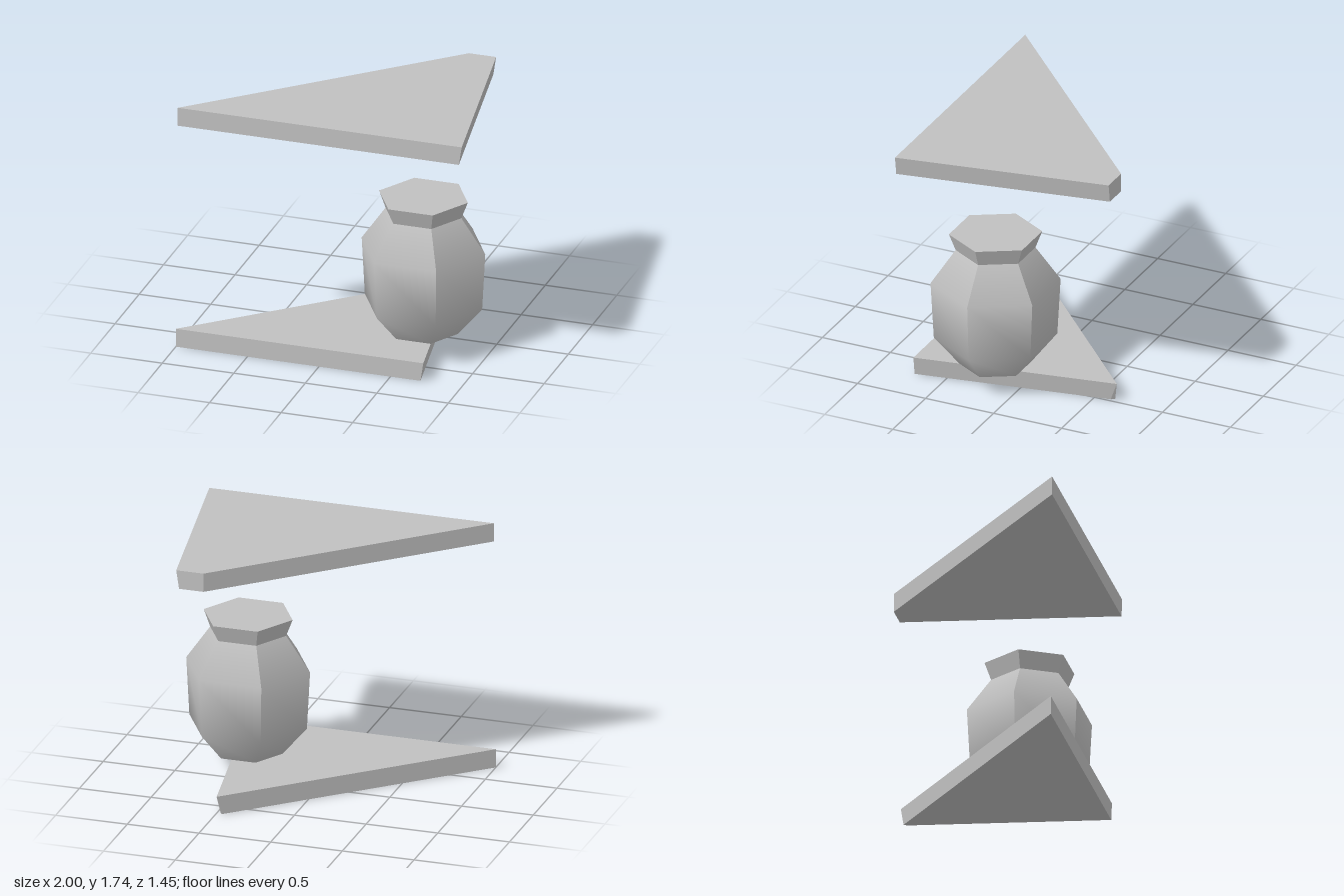
import * as THREE from 'three';
import { ConvexGeometry } from 'three/addons/geometries/ConvexGeometry.js';

const SIDES = 6;
const STEP = (Math.PI * 2) / SIDES;

// Slab between a lower and an upper outline, both given as [x, z] corners
function slab(y0, bottom, y1, top) {
  return new ConvexGeometry([
    ...bottom.map(([x, z]) => new THREE.Vector3(x, y0, z)),
    ...top.map(([x, z]) => new THREE.Vector3(x, y1, z)),
  ]);
}

// Six-sided body: sharp side edges at the shoulder that melt into a round belly
function jarBody(rings) {
  const positions = [], normals = [];
  const apothem = Math.cos(STEP / 2);
  // Outward direction (radial, up) of each band
  const bands = rings.slice(1).map(([r, y], i) =>
    new THREE.Vector2(y - rings[i][1], (rings[i][0] - r) * apothem).normalize());
  const ringNormal = (i) => {
    const n = new THREE.Vector2();
    if (bands[i - 1]) n.add(bands[i - 1]);
    if (bands[i]) n.add(bands[i]);
    return n.normalize();
  };
  const addPoint = (i, corner, side) => {
    const a = corner * STEP;
    const [r, y] = rings[i];
    const facing = i < 2 ? a : (side + 0.5) * STEP; // lower rings are smooth
    const n = ringNormal(i);
    positions.push(r * Math.cos(a), y, r * Math.sin(a));
    normals.push(n.x * Math.cos(facing), n.y, n.x * Math.sin(facing));
  };
  for (let s = 0; s < SIDES; s++) {
    for (let i = 0; i < bands.length; i++) {
      for (const [ring, corner] of [[i, s], [i + 1, s], [i + 1, s + 1], [i, s], [i + 1, s + 1], [i, s + 1]]) {
        addPoint(ring, corner, s);
      }
    }
  }
  const geometry = new THREE.BufferGeometry();
  geometry.setAttribute('position', new THREE.Float32BufferAttribute(positions, 3));
  geometry.setAttribute('normal', new THREE.Float32BufferAttribute(normals, 3));
  return geometry;
}

export function createModel() {
  const model = new THREE.Group();
  const grey = new THREE.MeshStandardMaterial({ color: 0xc0c0c0 });
  grey.name = 'grey';

  const add = (name, geometry, parent = model) => {
    const mesh = new THREE.Mesh(geometry, grey);
    mesh.name = name;
    parent.add(mesh);
    return mesh;
  };

  // Corner shelves with a slightly bevelled right edge
  add('lowerShelf', slab(
    0, [[-1, 0.72], [0.71, 0.72], [0.479, -0.61], [0.463, -0.635]],
    0.13, [[-1, 0.72], [0.73, 0.72], [0.49, -0.66]]));
  add('upperShelf', slab(
    1.61, [[-0.985, 0.725], [0.98, 0.725], [0.73, -0.725], [0.56, -0.725]],
    1.74, [[-0.985, 0.725], [1, 0.725], [0.75, -0.725], [0.56, -0.725]]));

  // Jar standing on the lower shelf
  const jar = new THREE.Group();
  jar.name = 'jar';
  jar.position.set(0.555, 0, 0.2);
  model.add(jar);

  const rings = [[0.24, 0.13], [0.41, 0.33], [0.432, 0.735], [0.265, 0.975]];
  add('jarBody', jarBody(rings), jar);

  const base = add('jarBase', new THREE.CircleGeometry(0.24, SIDES).rotateX(Math.PI / 2), jar);
  base.position.y = 0.13;

  // Flared, flat-sided lid
  const lidGeometry = new THREE.CylinderGeometry(0.31, 0.265, 0.118, SIDES, 1, false, Math.PI / 6).toNonIndexed();
  lidGeometry.computeVertexNormals();
  const lid = add('jarLid', lidGeometry, jar);
  lid.position.y = 0.975 + 0.059;

  return model;
}
